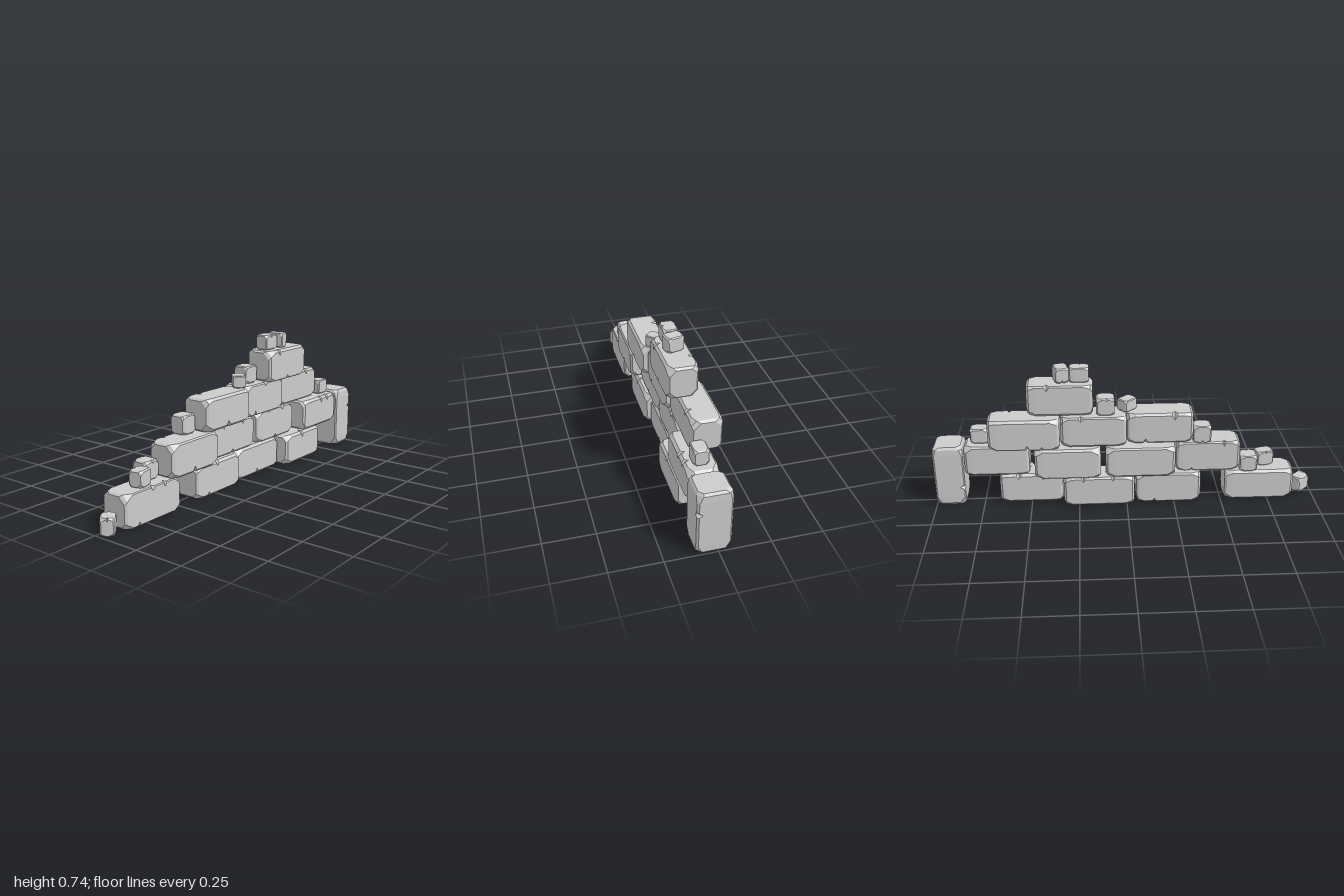
import * as THREE from 'three';

// Small seeded generator so every stone is chipped a little differently
let seed = 7;
const rand = (a, b) => {
  seed = (seed * 16807) % 2147483647;
  return a + (b - a) * (seed / 2147483647);
};

const CORNERS = [[1, 1], [-1, 1], [-1, -1], [1, -1]];

// Chamfered rectangle, counter-clockwise, one chamfer size per corner
function section(w, h, z, inset, chamfers) {
  const hx = w / 2 - inset, hy = h / 2 - inset;
  return CORNERS.flatMap(([sx, sy], k) => {
    const c = chamfers[k];
    const side = [sx * hx, sy * (hy - c), z];
    const cap = [sx * (hx - c), sy * hy, z];
    return sx * sy > 0 ? [side, cap] : [cap, side];
  });
}

// Rough-hewn stone: chamfered sections along z, rounded ends, V-shaped chips in the edges
function stoneGeometry(w, h, length, chips) {
  const s = Math.min(w, h), half = length / 2;
  const four = (a, b) => CORNERS.map(() => rand(a, b) * s);
  const body = four(0.03, 0.09);
  const rings = [];
  const add = (z, inset, chamfers) => rings.push(section(w, h, z, inset * s, chamfers));

  add(-half, 0.07, four(0.1, 0.24));
  add(-half + 0.08 * s, 0.01, four(0.1, 0.2));
  add(-half + 0.3 * s, 0, body);
  for (let i = 0; i < chips; i++) {
    const z = ((i + rand(0.3, 0.7)) / chips - 0.5) * (length - 0.75 * s);
    const k = Math.floor(rand(0, 3.99));
    const wide = rand(0.05, 0.09) * s;
    const depth = rand(0.08, 0.15) * s;
    add(z - wide, 0, body);
    add(z, 0, body.map((c, j) => (j === k ? c + depth : c)));
    add(z + wide, 0, body);
  }
  add(half - 0.3 * s, 0, body);
  add(half - 0.08 * s, 0.01, four(0.1, 0.2));
  add(half, 0.07, four(0.1, 0.24));

  const index = [], n = 8, last = (rings.length - 1) * n;
  for (let i = 0; i < rings.length - 1; i++) {
    for (let j = 0; j < n; j++) {
      const a = i * n + j, b = i * n + (j + 1) % n;
      index.push(a, b, b + n, a, b + n, a + n);
    }
  }
  for (let j = 1; j < n - 1; j++) {
    index.push(0, j + 1, j, last, last + j, last + j + 1);
  }
  const indexed = new THREE.BufferGeometry();
  indexed.setAttribute('position', new THREE.Float32BufferAttribute(rings.flat(2), 3));
  indexed.setIndex(index);
  const geometry = indexed.toNonIndexed();
  geometry.computeVertexNormals();
  return geometry;
}

export function createModel() {
  seed = 7;
  const model = new THREE.Group();
  const material = new THREE.MeshStandardMaterial({ color: 0xcccccc, flatShading: true });
  const place = (name, geometry, x, y, z, turn = 0) => {
    const mesh = new THREE.Mesh(geometry, material);
    mesh.name = name;
    mesh.position.set(x, y, z);
    mesh.rotation.y = turn;
    model.add(mesh);
  };

  // Wall courses: bottom, top, then blocks as [x centre, z back, z front]
  const courses = [
    { y0: 0, y1: 0.165, blocks: [[0.005, 0.52, 0.885], [-0.005, 0.05, 0.39], [-0.03, -0.33, 0.04], [0.025, -0.665, -0.335]] },
    { y0: 0.165, y1: 0.33, blocks: [[0.025, 0.26, 0.595], [-0.03, -0.11, 0.25], [-0.03, -0.475, -0.135], [0.025, -0.84, -0.505]] },
    { y0: 0.333, y1: 0.497, blocks: [[0.025, 0.002, 0.345], [-0.005, -0.338, -0.002], [-0.03, -0.705, -0.342]] },
    { y0: 0.497, y1: 0.66, blocks: [[0.025, -0.505, -0.17]] },
  ];
  courses.forEach(({ y0, y1, blocks }, row) => {
    blocks.forEach(([x, z0, z1], i) => {
      place(`wallBlock${row + 1}_${i + 1}`, stoneGeometry(0.15, y1 - y0, z1 - z0, 3),
        x, (y0 + y1) / 2, (z0 + z1) / 2);
    });
  });

  // Upright end stone
  const upright = stoneGeometry(0.165, 0.155, 0.335, 2).rotateX(Math.PI / 2);
  place('uprightEndStone', upright, 0.022, 0.1675, -0.9225);

  // Loose rubble: x, base y, z, width, height, depth, turn
  const rubble = [
    [0.025, 0, 0.943, 0.09, 0.085, 0.067, -0.85],
    [0.025, 0.165, 0.737, 0.07, 0.08, 0.088, 0.23],
    [-0.032, 0.165, 0.64, 0.09, 0.09, 0.09, 0],
    [-0.015, 0.33, 0.392, 0.085, 0.095, 0.092, 0],
    [0.025, 0.497, 0.005, 0.085, 0.063, 0.067, -0.8],
    [-0.015, 0.497, -0.108, 0.086, 0.092, 0.094, 0],
    [0.025, 0.662, -0.238, 0.072, 0.078, 0.1, 0],
    [0.027, 0.662, -0.33, 0.088, 0.078, 0.07, 0.25],
    [0.025, 0.333, -0.76, 0.072, 0.08, 0.09, 0],
  ];
  rubble.forEach(([x, y, z, w, h, d, turn], i) => {
    place(`rubbleStone${i + 1}`, stoneGeometry(w, h, d, 1), x, y + h / 2, z, turn);
  });
  return model;
}
